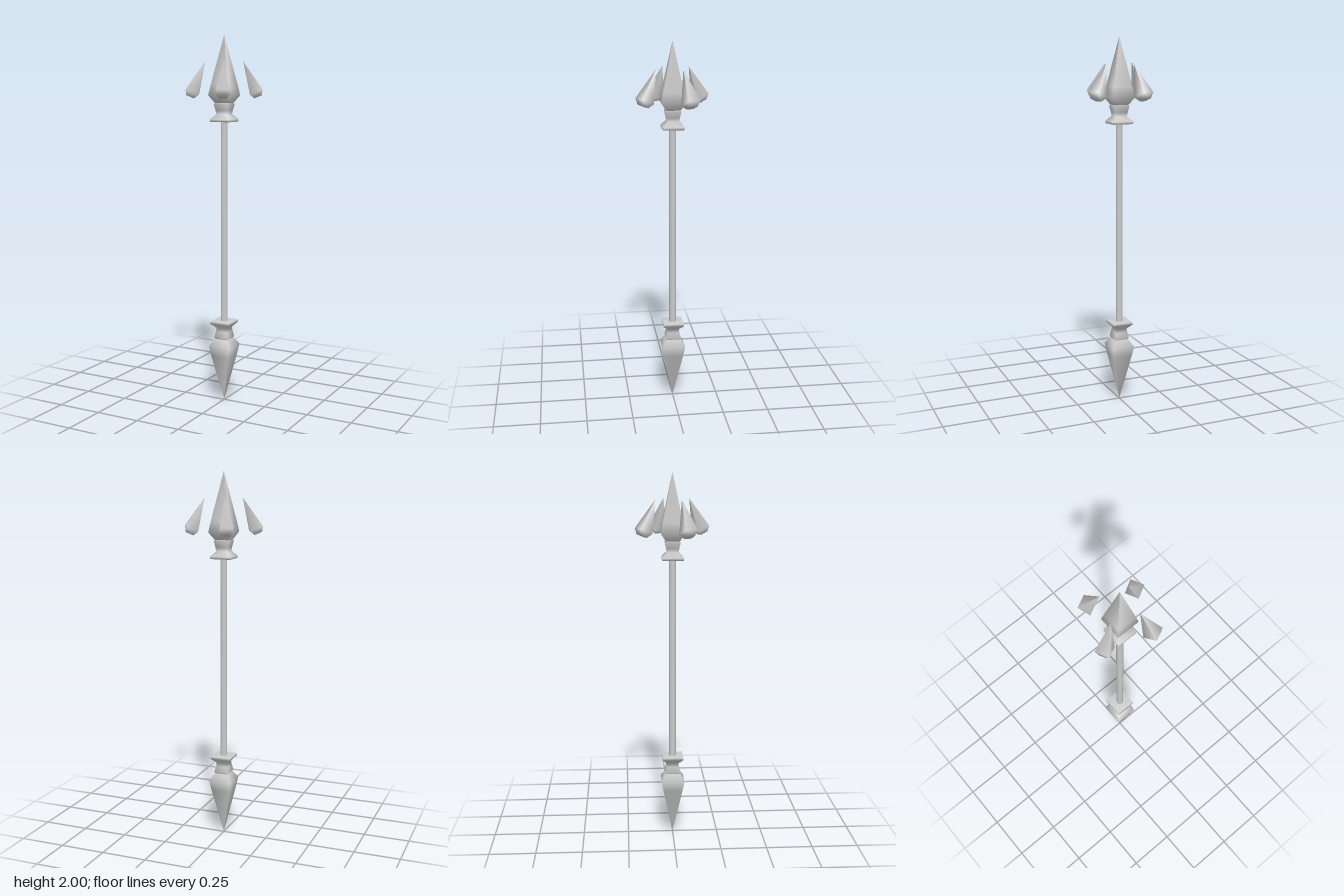
import * as THREE from 'three';

const material = new THREE.MeshStandardMaterial({ color: 0xcccccc });

// Square-section lathe: profile holds [half width, height] from bottom to top
function squareLathe(name, profile) {
  const points = profile.map(([h, y]) => new THREE.Vector2(h * Math.SQRT2, y));
  const geometry = new THREE.LatheGeometry(points, 4);
  geometry.rotateY(Math.PI / 4);
  const mesh = new THREE.Mesh(geometry, material);
  mesh.name = name;
  return mesh;
}

// Flared plate, neck, collar and long spike; the tip is at y = 2
function createFinial(name) {
  const finial = new THREE.Group();
  finial.name = name;
  finial.add(squareLathe('plateAndCollar', [
    [0, 1.545], [0.056, 1.545], [0.057, 1.558], [0.031, 1.585],
    [0.034, 1.605], [0.041, 1.638], [0.034, 1.65], [0, 1.65],
  ]));
  finial.add(squareLathe('spike', [
    [0, 1.64], [0.034, 1.64], [0.063, 1.685], [0.053, 1.74], [0, 2],
  ]));
  return finial;
}

export function createModel() {
  const model = new THREE.Group();
  model.name = 'staff';

  const shaft = new THREE.Mesh(new THREE.CylinderGeometry(0.019, 0.019, 1.1, 8), material);
  shaft.name = 'shaft';
  shaft.position.y = 1;
  model.add(shaft);

  // Head on top, the same shape upside down as the foot
  model.add(createFinial('head'));
  const foot = createFinial('foot');
  foot.rotation.x = Math.PI;
  foot.position.y = 2;
  model.add(foot);

  // Four floating shards leaning inwards around the head
  for (let i = 0; i < 4; i++) {
    const arm = new THREE.Group();
    arm.name = 'shardPivot' + (i + 1);
    const shard = squareLathe('shard', [[0, -0.027], [0.021, -0.027], [0.036, 0], [0, 0.175]]);
    shard.position.set(0.17, 1.702, 0);
    shard.rotation.z = THREE.MathUtils.degToRad(23.6);
    arm.add(shard);
    arm.rotation.y = THREE.MathUtils.degToRad(25.5 + 90 * i);
    model.add(arm);
  }
  return model;
}
